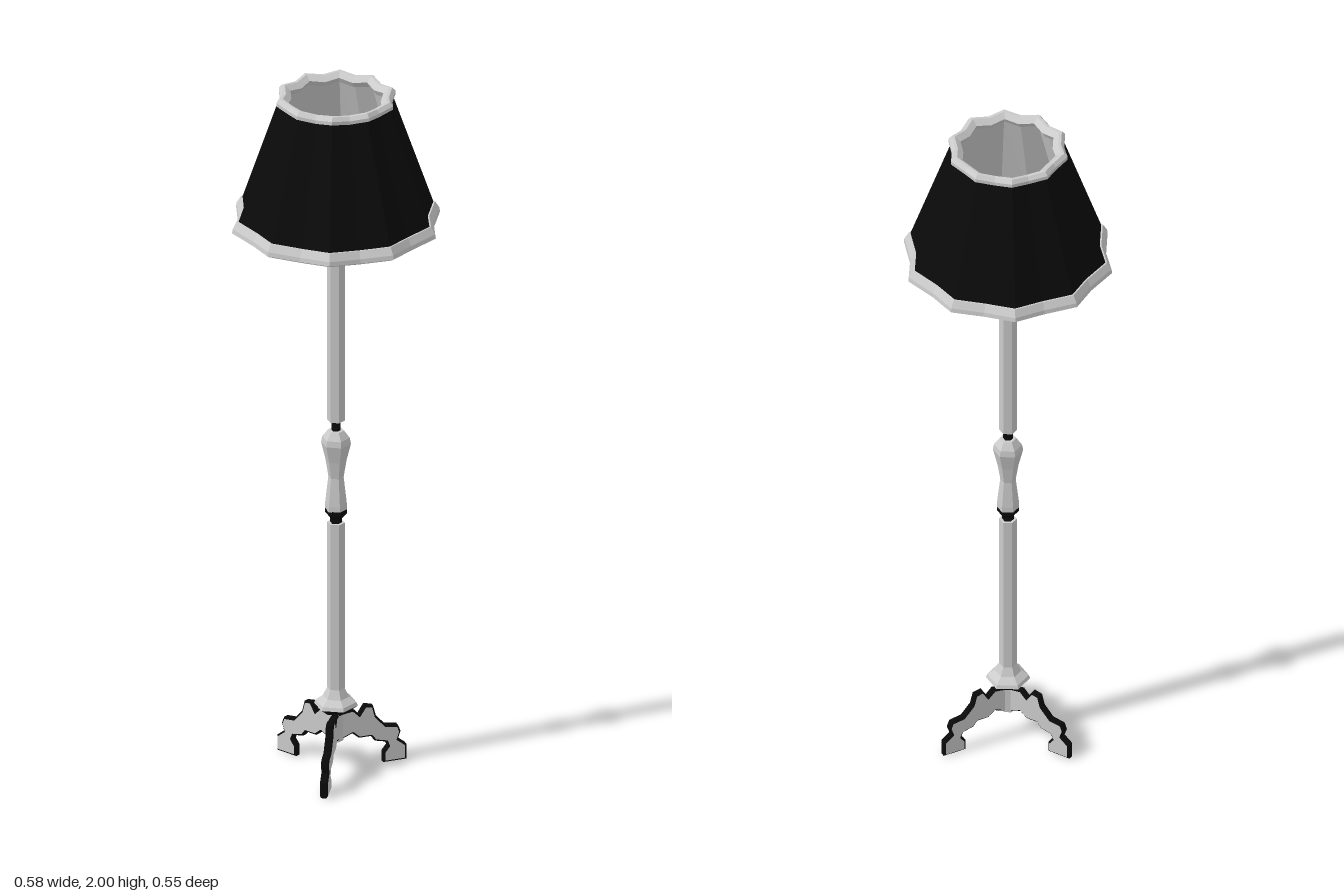
import * as THREE from 'three';

const mat = (color, side = THREE.FrontSide) =>
  new THREE.MeshStandardMaterial({ color, flatShading: true, side });
const grey = mat(0xcccccc);
const black = mat(0x0a0a0a);

function add(parent, name, geometry, material) {
  const mesh = new THREE.Mesh(geometry, material);
  mesh.name = name;
  parent.add(mesh);
  return mesh;
}

// Turned profile of [radius, y] pairs, with a corner on the x axis
function turned(points, sides = 6) {
  return new THREE.LatheGeometry(points.map(([r, y]) => new THREE.Vector2(r, y)), sides, Math.PI / 2);
}

// Fluted ring: every second corner is drawn in and dropped slightly
function fluted(points) {
  const geometry = turned(points, 20);
  const p = geometry.attributes.position;
  const n = points.length;
  for (let i = 0; i < p.count; i++) {
    if (Math.floor(i / n) % 2) p.setXYZ(i, p.getX(i) * 0.915, p.getY(i) - 0.006, p.getZ(i) * 0.915);
  }
  return geometry;
}

export function createModel() {
  const lamp = new THREE.Group();
  lamp.name = 'floorLamp';

  // Column, from the hub between the legs up to the lamp holder
  const column = new THREE.Group();
  column.name = 'column';
  lamp.add(column);
  add(column, 'legHub', turned([[0, 0.08], [0.02, 0.085], [0.02, 0.172]]), grey);
  add(column, 'collarUnderside', turned([[0.02, 0.165], [0.035, 0.17], [0.06, 0.19]]), black);
  add(column, 'lowerPole', turned([[0.06, 0.19], [0.056, 0.2], [0.036, 0.215], [0.024, 0.24],
    [0.024, 0.73], [0, 0.73]]), grey);
  add(column, 'lowerNeck', turned([[0.016, 0.73], [0.016, 0.742], [0.03, 0.758], [0.03, 0.77]]), black);
  add(column, 'baluster', turned([[0.03, 0.768], [0.03, 0.785], [0.021, 0.865], [0.029, 0.915],
    [0.041, 0.965], [0.038, 0.982], [0.022, 1.003], [0, 1.003]]), grey);
  add(column, 'upperNeck', turned([[0.013, 1.0], [0.013, 1.032]]), black);
  add(column, 'upperPole', turned([[0, 1.028], [0.024, 1.032], [0.024, 1.66]]), grey);
  add(column, 'lampHolder', turned([[0.024, 1.655], [0.03, 1.67], [0.03, 1.7], [0.04, 1.72],
    [0.04, 1.735], [0.028, 1.745], [0, 1.755]]), grey);

  // Three scrolled legs: grey cheeks with black edges
  const outline = [[0.01, 0.16], [0.045, 0.165], [0.065, 0.145], [0.083, 0.172], [0.1, 0.168],
    [0.108, 0.138], [0.138, 0.105], [0.172, 0.1], [0.178, 0.085], [0.17, 0.062], [0.195, 0.042],
    [0.195, 0.005], [0.138, 0.005], [0.138, 0.028], [0.152, 0.046], [0.145, 0.064], [0.112, 0.072],
    [0.1, 0.088], [0.065, 0.088], [0.045, 0.105], [0.01, 0.09]];
  const legShape = new THREE.Shape(outline.map(([x, y]) => new THREE.Vector2(x, y)));
  const legGeometry = new THREE.ExtrudeGeometry(legShape, {
    depth: 0.014, bevelEnabled: true, bevelThickness: 0.004, bevelSize: 0.005, bevelSegments: 1,
  });
  legGeometry.translate(0, 0, -0.007);
  for (let i = 0; i < 3; i++) {
    const leg = add(lamp, 'leg', legGeometry, [grey, black]);
    leg.rotation.y = Math.PI / 2 + i * Math.PI * 2 / 3;
  }

  // Shade: black cloth, pale lining and two trimmed rims
  const shade = new THREE.Group();
  shade.name = 'shade';
  lamp.add(shade);
  add(shade, 'cloth', fluted([[0.273, 1.645], [0.155, 1.986]]), black);
  add(shade, 'lining', fluted([[0.147, 1.986], [0.265, 1.645]]), grey);
  add(shade, 'lowerRim', fluted([[0.262, 1.618], [0.278, 1.611], [0.29, 1.618], [0.288, 1.63],
    [0.276, 1.65], [0.26, 1.65], [0.262, 1.618]]), grey);
  add(shade, 'upperRim', fluted([[0.152, 1.976], [0.166, 1.98], [0.166, 1.99], [0.157, 2.0],
    [0.148, 2.0], [0.132, 1.986], [0.142, 1.97], [0.152, 1.976]]), grey);

  // Cross of bars carrying the shade
  add(shade, 'carrierHub', turned([[0.024, 1.6], [0.03, 1.604], [0.03, 1.636], [0.024, 1.64]]), grey);
  const carrierX = add(shade, 'carrierBar', new THREE.BoxGeometry(0.54, 0.016, 0.017), grey);
  const carrierZ = add(shade, 'carrierBar', new THREE.BoxGeometry(0.017, 0.016, 0.49), grey);
  carrierX.position.y = carrierZ.position.y = 1.624;

  return lamp;
}
